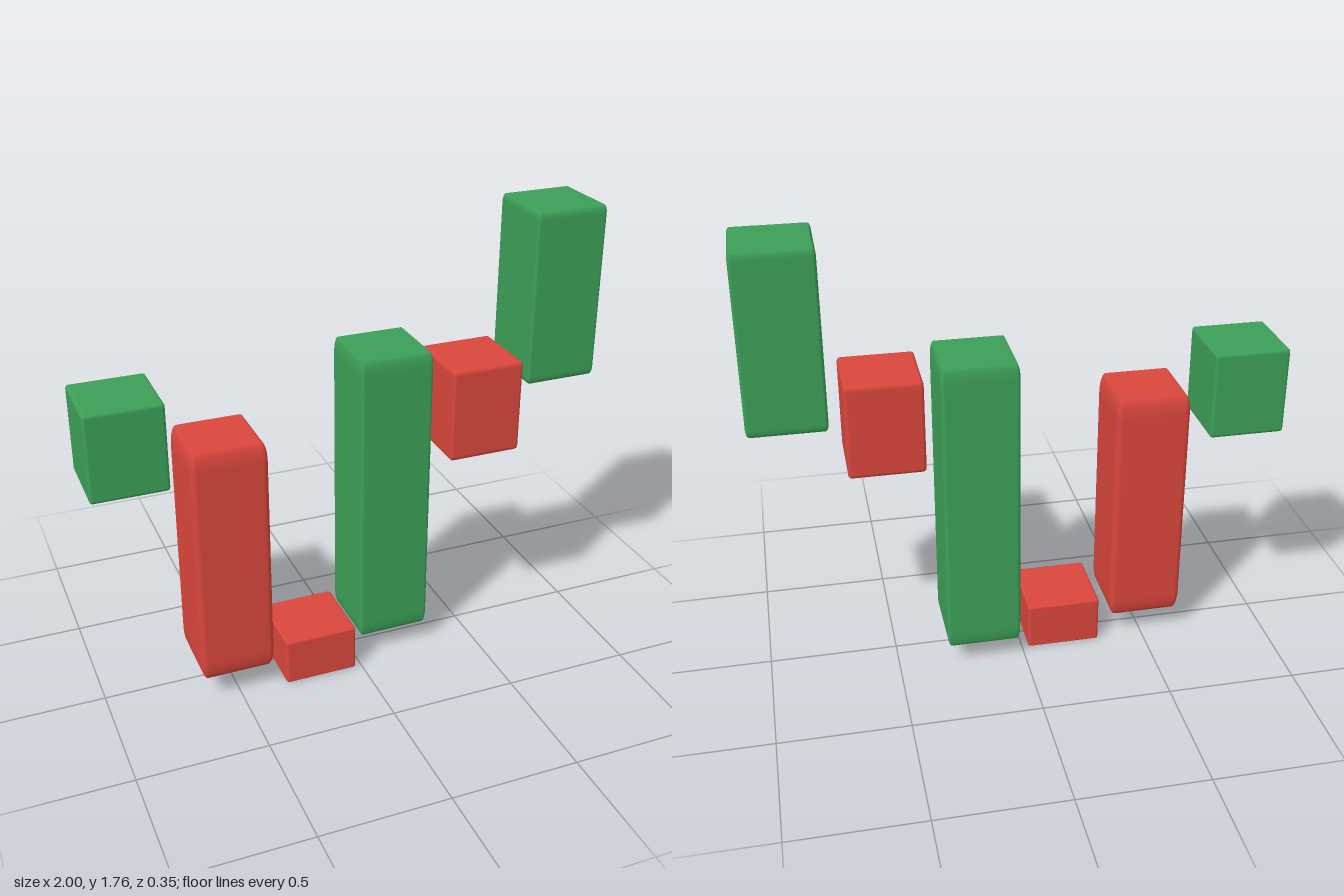
import * as THREE from 'three';
import { RoundedBoxGeometry } from 'three/addons/geometries/RoundedBoxGeometry.js';

const SIDE = 0.29;

export function createModel() {
  const chart = new THREE.Group();
  chart.name = 'candlestickChart';

  const green = new THREE.MeshStandardMaterial({ color: 0x3c9f57 });
  const red = new THREE.MeshStandardMaterial({ color: 0xd9463c });

  // Each bar: centre x, bottom, top, rising (green, set back) or falling (red, set forward), edge radius
  const bars = [
    [-0.855, 0.912, 1.255, true, 0.012],
    [-0.507, 0.1, 1.067, false, 0.024],
    [-0.17, 0, 0.19, false, 0.012],
    [0.165, 0.09, 1.285, true, 0.015],
    [0.506, 0.85, 1.22, false, 0.014],
    [0.855, 1.085, 1.765, true, 0.013],
  ];

  bars.forEach(([x, bottom, top, rising, radius], i) => {
    // A rounded cube stretched to height, so its bevel stretches with it
    const geometry = new RoundedBoxGeometry(SIDE, SIDE, SIDE, 4, radius);
    geometry.scale(1, (top - bottom) / SIDE, 1);
    const bar = new THREE.Mesh(geometry, rising ? green : red);
    bar.name = `${rising ? 'rising' : 'falling'}Bar${i + 1}`;
    bar.position.set(x, (bottom + top) / 2, rising ? -0.032 : 0.032);
    chart.add(bar);
  });

  return chart;
}
